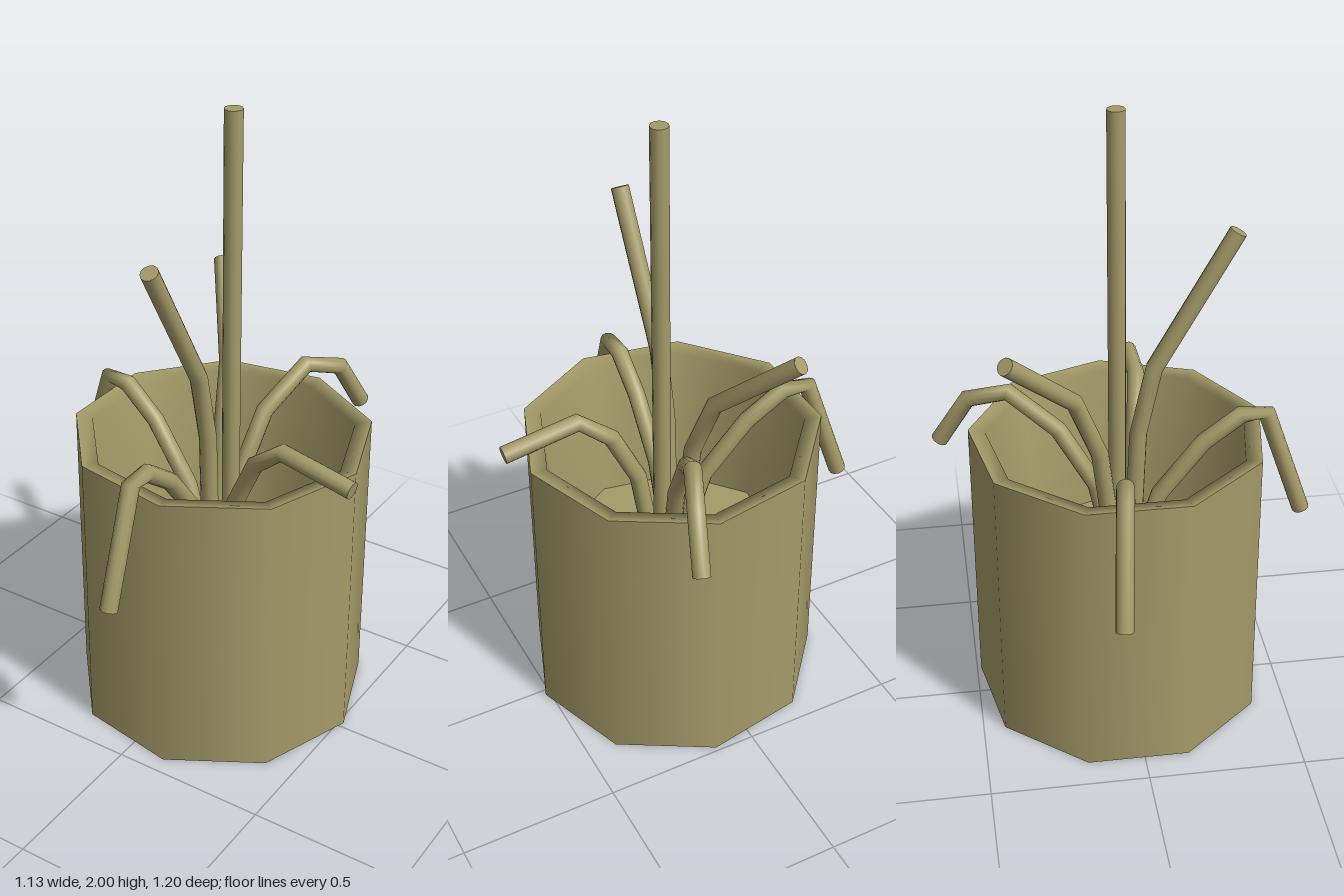
import * as THREE from 'three';

const SIDES = 9;
const FLOOR = 0.46;
const STEM_R = 0.028;

// Straight segments joined at kinks, sampled exactly at each point
class Polyline extends THREE.Curve {
  constructor(points) {
    super();
    this.points = points;
  }
  getPoint(t, target = new THREE.Vector3()) {
    const n = this.points.length - 1;
    const s = THREE.MathUtils.clamp(t, 0, 1) * n;
    const i = Math.min(Math.floor(s + 1e-9), n - 1);
    return target.lerpVectors(this.points[i], this.points[i + 1], s - i);
  }
  getPointAt(t, target) { return this.getPoint(t, target); }
  getTangentAt(t, target) { return this.getTangent(t, target); }
}

export function createModel() {
  const olive = new THREE.MeshStandardMaterial({ color: 0xa59b69, side: THREE.DoubleSide });
  olive.name = 'olive clay';
  const model = new THREE.Group();
  model.name = 'pottedPlant';

  // Pot: nine-sided shell, open underneath
  const pot = new THREE.Group();
  pot.name = 'pot';
  pot.position.set(0.042, 0, -0.02);
  model.add(pot);
  const ring = (name, profile) => {
    const points = profile.map(([r, y]) => new THREE.Vector2(r, y));
    const mesh = new THREE.Mesh(new THREE.LatheGeometry(points, SIDES, Math.PI / 2), olive);
    mesh.name = name;
    pot.add(mesh);
  };
  ring('outerWall', [[0.474, 0], [0.474, 0.95]]);
  ring('rimAndInnerWall', [[0.474, 0.95], [0.42, 0.942], [0.376, FLOOR]]);
  const soil = new THREE.Mesh(new THREE.CircleGeometry(0.376, SIDES), olive);
  soil.name = 'soil';
  soil.rotation.x = -Math.PI / 2;
  soil.position.y = FLOOR;
  pot.add(soil);

  // Stems: kinked tubes with a flat cap at the tip
  const stem = (name, path) => {
    const points = path.map((p) => new THREE.Vector3(...p));
    const group = new THREE.Group();
    group.name = name;
    const tube = new THREE.Mesh(
      new THREE.TubeGeometry(new Polyline(points), points.length - 1, STEM_R, 12), olive);
    tube.name = 'stalk';
    const cap = new THREE.Mesh(new THREE.CircleGeometry(STEM_R, 12), olive);
    cap.name = 'tip';
    const [before, tip] = points.slice(-2);
    cap.position.copy(tip);
    cap.quaternion.setFromUnitVectors(
      new THREE.Vector3(0, 0, 1), tip.clone().sub(before).normalize());
    group.add(tube, cap);
    model.add(group);
  };
  stem('uprightStem', [[0.075, FLOOR, -0.02], [0.075, 2, -0.02]]);
  stem('frontTallStem', [
    [0.028, FLOOR, 0.02], [0.028, 0.95, 0.04], [0.028, 1.18, 0.09], [0.028, 1.62, 0.338]]);
  stem('frontDroopingStem', [
    [0.028, FLOOR, 0.03], [0.028, 0.72, 0.11], [0.028, 0.9, 0.25],
    [0.028, 0.99, 0.37], [0.028, 0.99, 0.45], [0.028, 0.62, 0.577]]);
  stem('rightDroopingStem', [
    [0, FLOOR, 0], [-0.08, 0.72, -0.012], [-0.22, 0.9, -0.035],
    [-0.34, 0.99, -0.053], [-0.42, 0.99, -0.065], [-0.542, 0.62, -0.085]]);
  stem('leftStem', [
    [0.09, FLOOR, 0.02], [0.13, 0.75, 0.04], [0.21, 0.92, 0.058],
    [0.315, 1.005, 0.075], [0.56, 0.96, 0.085]]);
  stem('backRightStem', [
    [0.02, FLOOR, -0.03], [0.0, 0.9, -0.085], [-0.03, 1.11, -0.165], [-0.19, 1.34, -0.382]]);
  stem('backLeftStem', [
    [0.05, FLOOR, -0.03], [0.06, 0.75, -0.09], [0.085, 0.95, -0.205],
    [0.145, 1.065, -0.355], [0.2, 1.02, -0.48], [0.232, 0.86, -0.575]]);

  return model;
}
